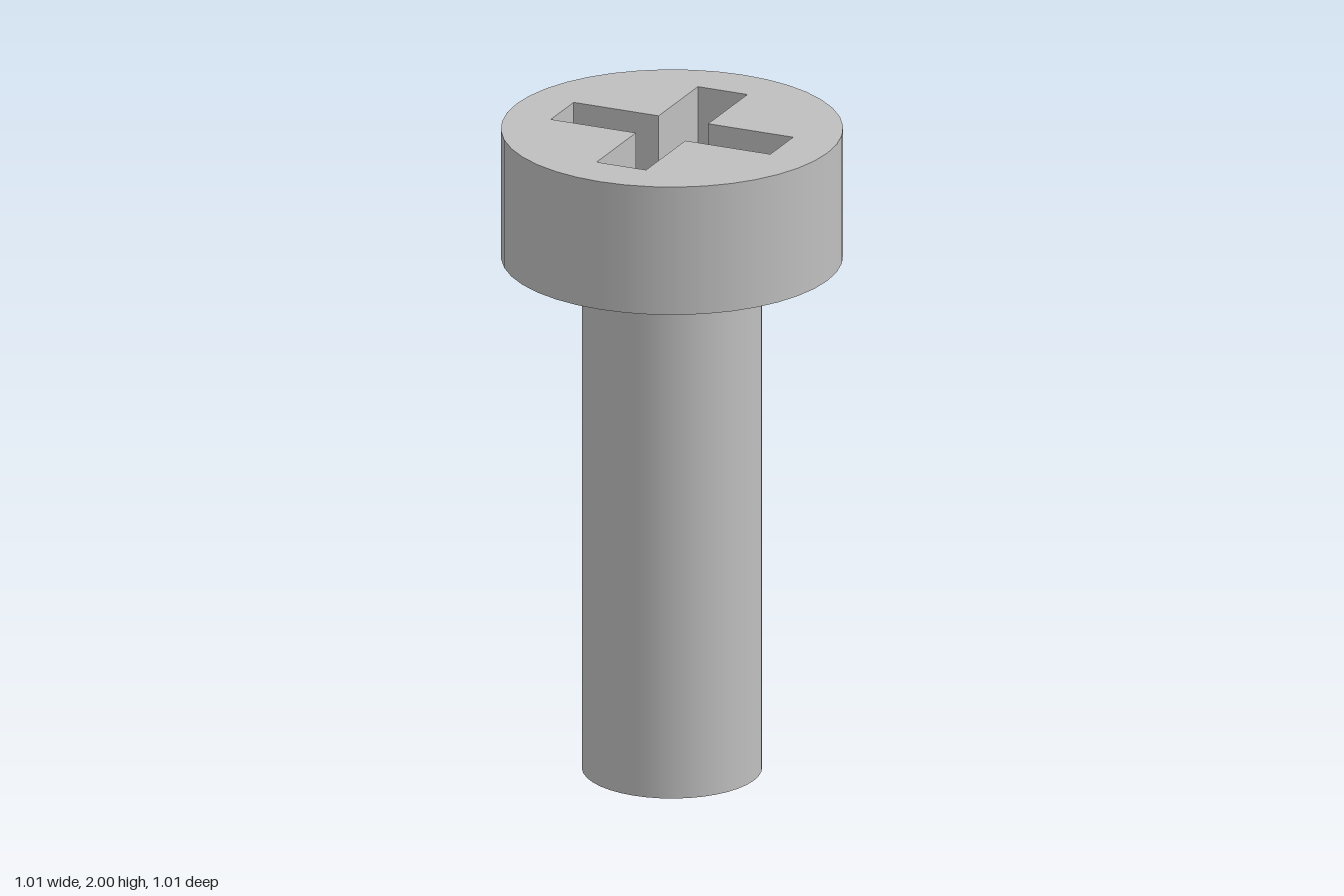
import * as THREE from 'three';

const SIDES = 40;
const HEAD_R = 0.503, SHANK_R = 0.265;
const TOP = 2, HEAD_BOTTOM = 1.6, RECESS_FLOOR = 1.76;
const ARM = 0.355, HALF = 0.08; // cross recess: arm length and half width

// Counter-clockwise outline of the cross
function crossPoints() {
  const points = [];
  for (let i = 0; i < 4; i++) {
    for (const [x, y] of [[ARM, -HALF], [ARM, HALF], [HALF, HALF]]) {
      points.push(new THREE.Vector2(x, y).rotateAround(new THREE.Vector2(), i * Math.PI / 2));
    }
  }
  return points;
}

// Inward-facing walls under the outline
function recessWalls(points) {
  const positions = [];
  points.forEach((a, i) => {
    const b = points[(i + 1) % points.length];
    const low = RECESS_FLOOR;
    positions.push(
      b.x, low, -b.y, a.x, low, -a.y, a.x, TOP, -a.y,
      b.x, low, -b.y, a.x, TOP, -a.y, b.x, TOP, -b.y);
  });
  const geometry = new THREE.BufferGeometry();
  geometry.setAttribute('position', new THREE.Float32BufferAttribute(positions, 3));
  geometry.computeVertexNormals();
  return geometry;
}

export function createModel() {
  const group = new THREE.Group();
  group.name = 'screw';
  const steel = new THREE.MeshStandardMaterial({ color: 0xbfbfbf });
  steel.name = 'steel grey';

  const add = (name, geometry) => {
    const mesh = new THREE.Mesh(geometry, steel);
    mesh.name = name;
    group.add(mesh);
  };
  const tube = (r, y0, y1) =>
    new THREE.CylinderGeometry(r, r, y1 - y0, SIDES, 1, true).translate(0, (y0 + y1) / 2, 0);
  const faceUp = (geometry, y) => geometry.rotateX(-Math.PI / 2).translate(0, y, 0);
  const faceDown = (geometry, y) => geometry.rotateX(Math.PI / 2).translate(0, y, 0);

  // Shank
  add('shankSide', tube(SHANK_R, 0, HEAD_BOTTOM));
  add('shankEnd', faceDown(new THREE.CircleGeometry(SHANK_R, SIDES), 0));

  // Head
  add('headSide', tube(HEAD_R, HEAD_BOTTOM, TOP));
  add('headUnderside', faceDown(new THREE.RingGeometry(SHANK_R, HEAD_R, SIDES), HEAD_BOTTOM));

  const cross = crossPoints();
  const disc = new THREE.Shape().absarc(0, 0, HEAD_R, 0, Math.PI * 2);
  disc.holes.push(new THREE.Path(cross));
  add('headTop', faceUp(new THREE.ShapeGeometry(disc, SIDES / 2), TOP));

  // Cross recess
  add('recessWalls', recessWalls(cross));
  add('recessFloor', faceUp(new THREE.ShapeGeometry(new THREE.Shape(cross)), RECESS_FLOOR));

  return group;
}
